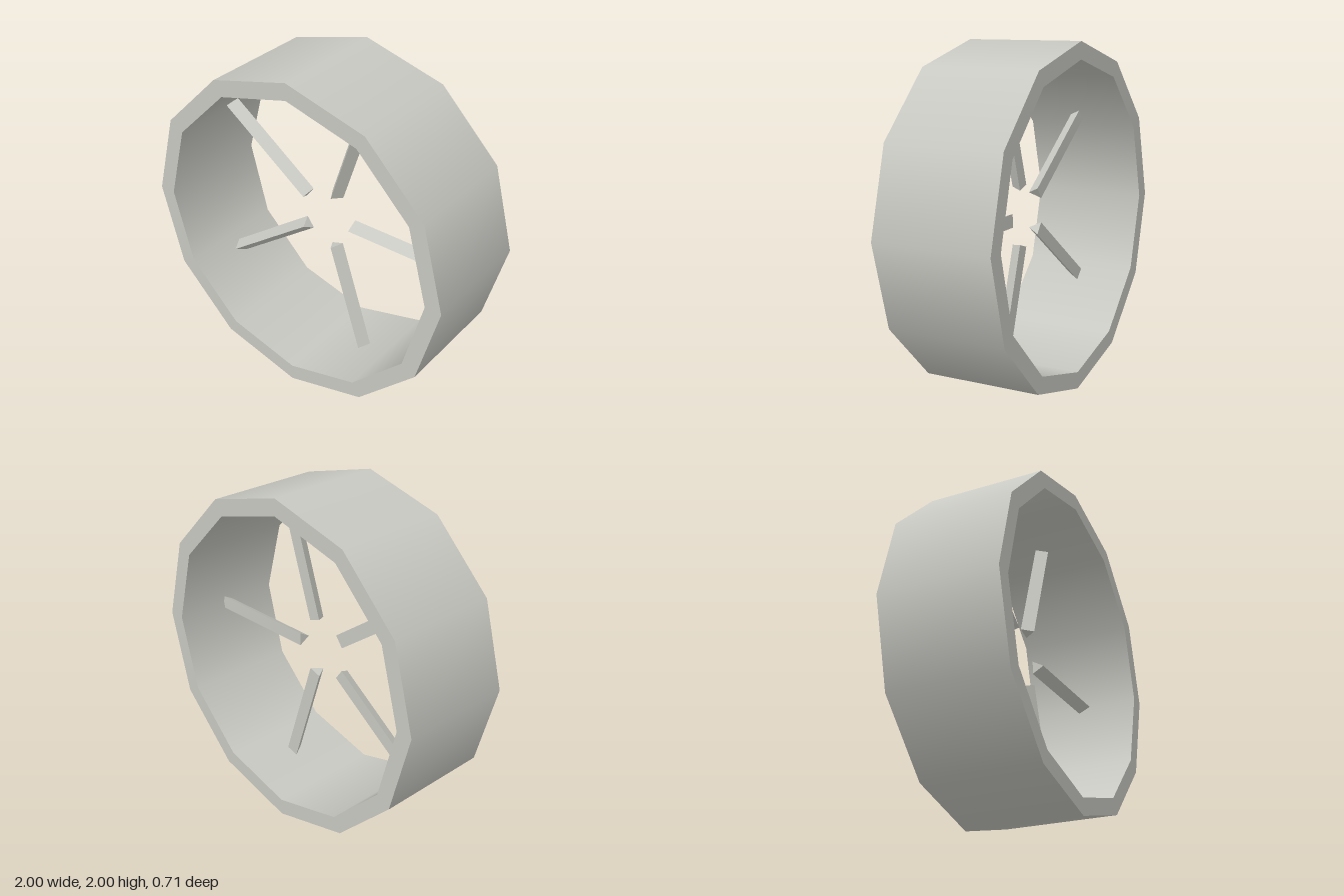
import * as THREE from 'three';
import { mergeGeometries } from 'three/addons/utils/BufferGeometryUtils.js';

const OUTER = 1, INNER = 0.9, HALF_DEPTH = 0.353, SIDES = 12;
const SPOKES = 5, SPOKE_START = 0.18, SPOKE_END = 0.91, SPOKE_RADIUS = 0.046;

// Twelve-sided rim: each profile edge is its own strip, so the walls are smooth and the rims stay crisp
function rimGeometry() {
  const profile = [
    [OUTER, -HALF_DEPTH], [OUTER, HALF_DEPTH], [INNER, HALF_DEPTH], [INNER, -HALF_DEPTH],
  ].map(([x, y]) => new THREE.Vector2(x, y));
  const strips = profile.map((p, i) => new THREE.LatheGeometry([p, profile[(i + 1) % 4]], SIDES));
  return mergeGeometries(strips).rotateX(Math.PI / 2);
}

// Triangular bar along +x with its ridge facing the front
function spokeGeometry() {
  const length = SPOKE_END - SPOKE_START;
  const geometry = new THREE.CylinderGeometry(SPOKE_RADIUS, SPOKE_RADIUS, length, 3).toNonIndexed();
  geometry.computeVertexNormals();
  return geometry.rotateZ(-Math.PI / 2).translate(SPOKE_START + length / 2, 0, 0);
}

export function createModel() {
  const model = new THREE.Group();
  model.name = 'wheel';
  const grey = new THREE.MeshStandardMaterial({ color: 0xc8c8c2 });
  grey.name = 'light grey';

  const rim = new THREE.Mesh(rimGeometry(), grey);
  rim.name = 'rim';
  rim.position.y = OUTER;
  model.add(rim);

  // Five spokes that stop short of the hub
  const spokes = new THREE.Group();
  spokes.name = 'spokes';
  spokes.position.y = OUTER;
  const bar = spokeGeometry();
  for (let i = 0; i < SPOKES; i++) {
    const spoke = new THREE.Mesh(bar, grey);
    spoke.name = `spoke${i + 1}`;
    spoke.rotation.z = (i / SPOKES) * Math.PI * 2;
    spokes.add(spoke);
  }
  model.add(spokes);
  return model;
}
